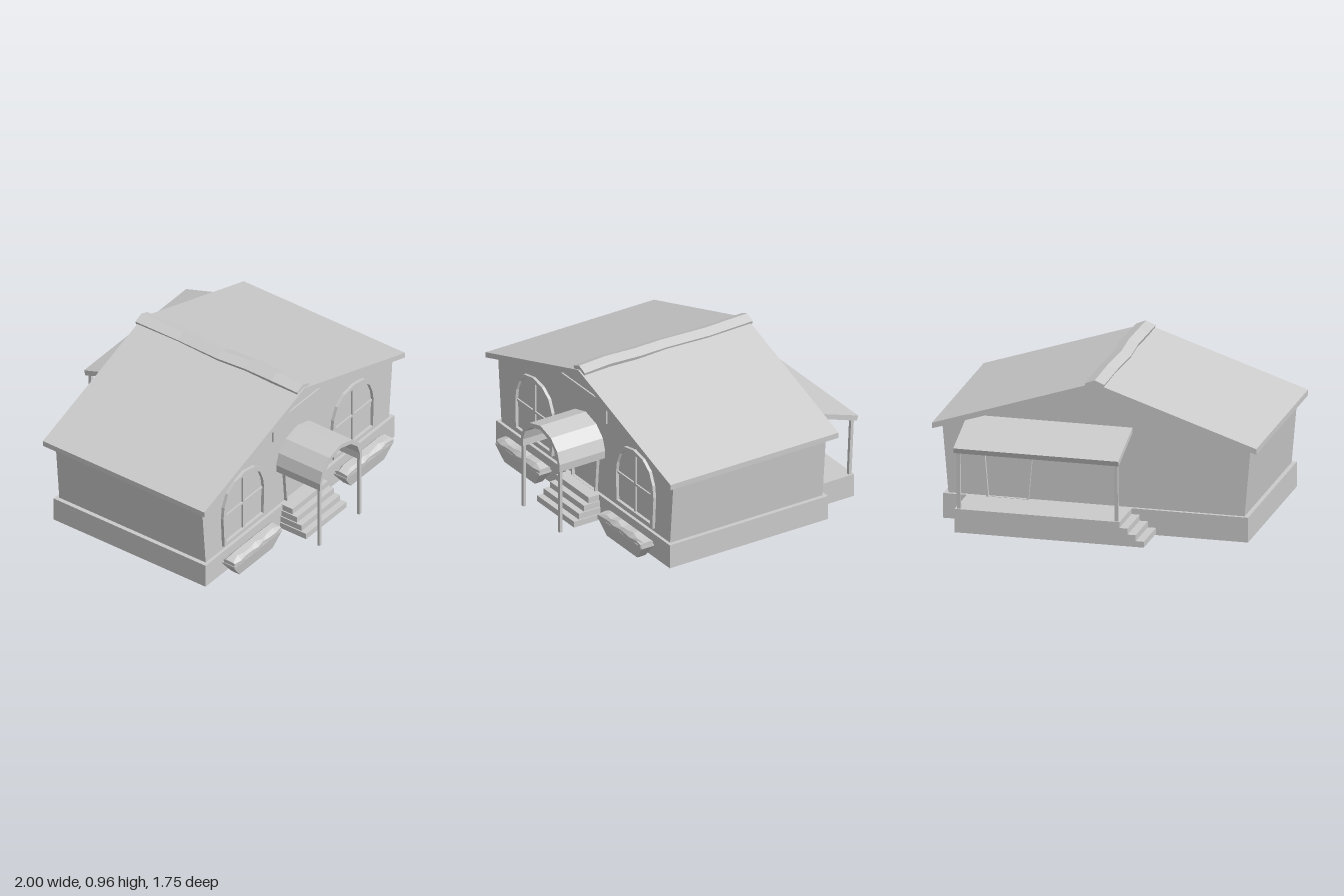
import * as THREE from 'three';

const material = new THREE.MeshStandardMaterial({ color: 0xcccccc, flatShading: true, side: THREE.DoubleSide });

export function createModel() {
  const model = new THREE.Group();

  function add(name, geometry, x = 0, y = 0, z = 0, parent = model) {
    const mesh = new THREE.Mesh(geometry, material);
    mesh.name = name;
    mesh.position.set(x, y, z);
    parent.add(mesh);
    return mesh;
  }
  // Box given by its minimum and maximum corners
  function block(name, [x0, y0, z0], [x1, y1, z1], parent) {
    return add(name, new THREE.BoxGeometry(x1 - x0, y1 - y0, z1 - z0),
      (x0 + x1) / 2, (y0 + y1) / 2, (z0 + z1) / 2, parent);
  }
  const outline = (pts) => new THREE.Shape(pts.map((p) => new THREE.Vector2(...p)));
  function extrude(pts, depth, hole) {
    const shape = outline(pts);
    if (hole) shape.holes.push(new THREE.Path(hole.map((p) => new THREE.Vector2(...p))));
    return new THREE.ExtrudeGeometry(shape, { depth, bevelEnabled: false });
  }
  // Skin joining rings with equal numbers of points
  function loft(rings, capped = false) {
    const n = rings[0].length, index = [];
    for (let r = 0; r < rings.length - 1; r++) {
      for (let i = 0; i < n; i++) {
        const a = r * n + i, b = r * n + (i + 1) % n;
        index.push(a, b, b + n, a, b + n, a + n);
      }
    }
    if (capped) {
      const last = (rings.length - 1) * n;
      for (let i = 1; i < n - 1; i++) index.push(0, i + 1, i, last, last + i, last + i + 1);
    }
    const g = new THREE.BufferGeometry();
    g.setAttribute('position', new THREE.Float32BufferAttribute(rings.flat(2), 3));
    g.setIndex(index);
    g.computeVertexNormals();
    return g;
  }
  // Counter-clockwise rectangle seen from above, reversed so the skin faces out
  const rect = (x0, x1, y, z0, z1) => [[x0, y, z1], [x1, y, z1], [x1, y, z0], [x0, y, z0]];
  const mirrored = (half) => [...half, ...half.slice().reverse().filter((p) => p[0] !== 0).map(([x, y]) => [-x, y])];

  // Plinth with ledge and walls leaning outwards, open below
  add('plinthAndWalls', loft([
    rect(-0.94, 0.94, 0, -0.565, 0.565), rect(-0.94, 0.94, 0.155, -0.565, 0.565),
    rect(-0.913, 0.913, 0.155, -0.543, 0.545), rect(-0.95, 0.95, 0.582, -0.543, 0.545),
  ]));
  for (const z of [-0.543, 0.545]) {
    const gable = new THREE.ShapeGeometry(outline([[-0.95, 0.582], [0.95, 0.582], [0, 0.9]]));
    if (z < 0) gable.rotateY(Math.PI);
    add('gable', gable, 0, 0, z);
  }

  // Main roof
  add('roof', extrude([[-1, 0.565], [0, 0.895], [1, 0.565], [1, 0.6], [0, 0.93], [-1, 0.6]], 1.2), 0, 0, -0.6);

  // Sagging ridge cap
  const ridge = [[-0.61, -0.002, -0.008], [-0.3, 0.004, -0.012], [0, -0.008, -0.008],
    [0.2, 0.003, -0.003], [0.4, -0.004, 0.002], [0.59, 0, -0.006]];
  const capProfile = [[-0.052, 0.905], [0.048, 0.905], [0.057, 0.935], [-0.004, 0.96], [-0.064, 0.935]];
  add('ridgeCap', loft(ridge.map(([z, dx, dy]) => capProfile.map(([x, y]) => [x + dx, y + dy, z])), true));

  // Name board without writing
  block('blankSign', [-0.25, 0.655, 0.535], [0.235, 0.785, 0.555]);

  // Arched windows with crossing bars
  const outer = mirrored([[0.205, 0.18], [0.217, 0.39], [0.207, 0.47], [0.17, 0.55], [0.1, 0.6], [0, 0.62]]);
  const inner = mirrored([[0.182, 0.205], [0.188, 0.39], [0.178, 0.46], [0.148, 0.53], [0.09, 0.577], [0, 0.595]]);
  for (const side of [-1, 1]) {
    const win = new THREE.Group();
    win.name = side > 0 ? 'leftWindow' : 'rightWindow';
    win.position.x = side * 0.545;
    model.add(win);
    add('windowFrame', extrude(outer, 0.035, inner), 0, 0, 0.53, win);
    block('windowUpright', [-0.009, 0.2, 0.535], [0.009, 0.597, 0.555], win);
    block('windowCrossbar', [-0.187, 0.38, 0.535], [0.187, 0.394, 0.555], win);
  }

  // Tapered door frames, front and back
  const doorOuter = [[-0.13, 0.155], [0.13, 0.155], [0.155, 0.442], [-0.155, 0.442]];
  const doorInner = [[-0.117, 0.157], [0.117, 0.157], [0.14, 0.427], [-0.14, 0.427]];
  add('frontDoorFrame', extrude(doorOuter, 0.035, doorInner), 0, 0, 0.53);
  add('backDoorFrame', extrude(doorOuter, 0.035, doorInner), 0.545, 0, -0.563);

  // Arched entrance canopy on two posts
  const arch = [[0.207, 0.41], [0.21, 0.46], [0.185, 0.535], [0.115, 0.6], [0, 0.632]];
  const archInside = [[0.187, 0.41], [0.188, 0.455], [0.165, 0.52], [0.1, 0.576], [0, 0.605]];
  add('canopy', extrude([...mirrored(arch), ...mirrored(archInside).reverse()], 0.34), 0, 0, 0.53);
  for (const x of [-0.197, 0.197]) block('canopyPost', [x - 0.01, 0, 0.848], [x + 0.01, 0.415, 0.866]);

  // Front steps
  for (let i = 0; i < 4; i++) {
    const w = 0.2 - i * 0.008;
    block('frontStep', [-w, i * 0.039, 0.555], [w, (i + 1) * 0.039, 0.76 - i * 0.04]);
  }

  // Planters with uneven planting
  for (const side of [-1, 1]) {
    const cx = side * 0.555;
    add('planter', loft([
      rect(cx - 0.165, cx + 0.165, 0, 0.595, 0.652), rect(cx - 0.236, cx + 0.236, 0.09, 0.58, 0.668),
      rect(cx - 0.236, cx + 0.236, 0.102, 0.58, 0.668),
    ], true));
    const rings = [];
    for (let i = 0; i <= 8; i++) {
      const x = cx + (i / 4 - 1) * 0.232;
      const w = Math.sin(i * 2.3 + side) * 0.006;
      const h = i % 8 ? 0.138 + w : 0.125;
      rings.push([[x, 0.09, 0.668 + w], [x, 0.12, 0.67 + w], [x, h, 0.65 - w],
        [x, h + 0.003, 0.605 + w], [x, 0.12, 0.585], [x, 0.09, 0.588]]);
    }
    add('planting', loft(rings, true));
  }

  // Back porch: floor, side steps, sloping roof and posts
  block('porchFloor', [-0.222, 0.008, -0.845], [0.795, 0.155, -0.55]);
  for (let i = 0; i < 3; i++) {
    block('porchStep', [-0.372 + i * 0.05, 0.008 + i * 0.037, -0.845], [-0.222, 0.045 + i * 0.037, -0.565]);
  }
  const porchRoof = extrude([[0.543, 0.62], [0.865, 0.51], [0.875, 0.542], [0.543, 0.653]], 1.017);
  porchRoof.rotateY(Math.PI / 2);
  add('porchRoof', porchRoof, -0.222, 0, 0);
  for (const x of [-0.2, 0.772]) {
    add('porchPost', loft([
      rect(x - 0.011, x + 0.011, 0.15, -0.835, -0.815), rect(x - 0.011, x + 0.011, 0.525, -0.852, -0.832),
    ], true));
  }
  return model;
}
